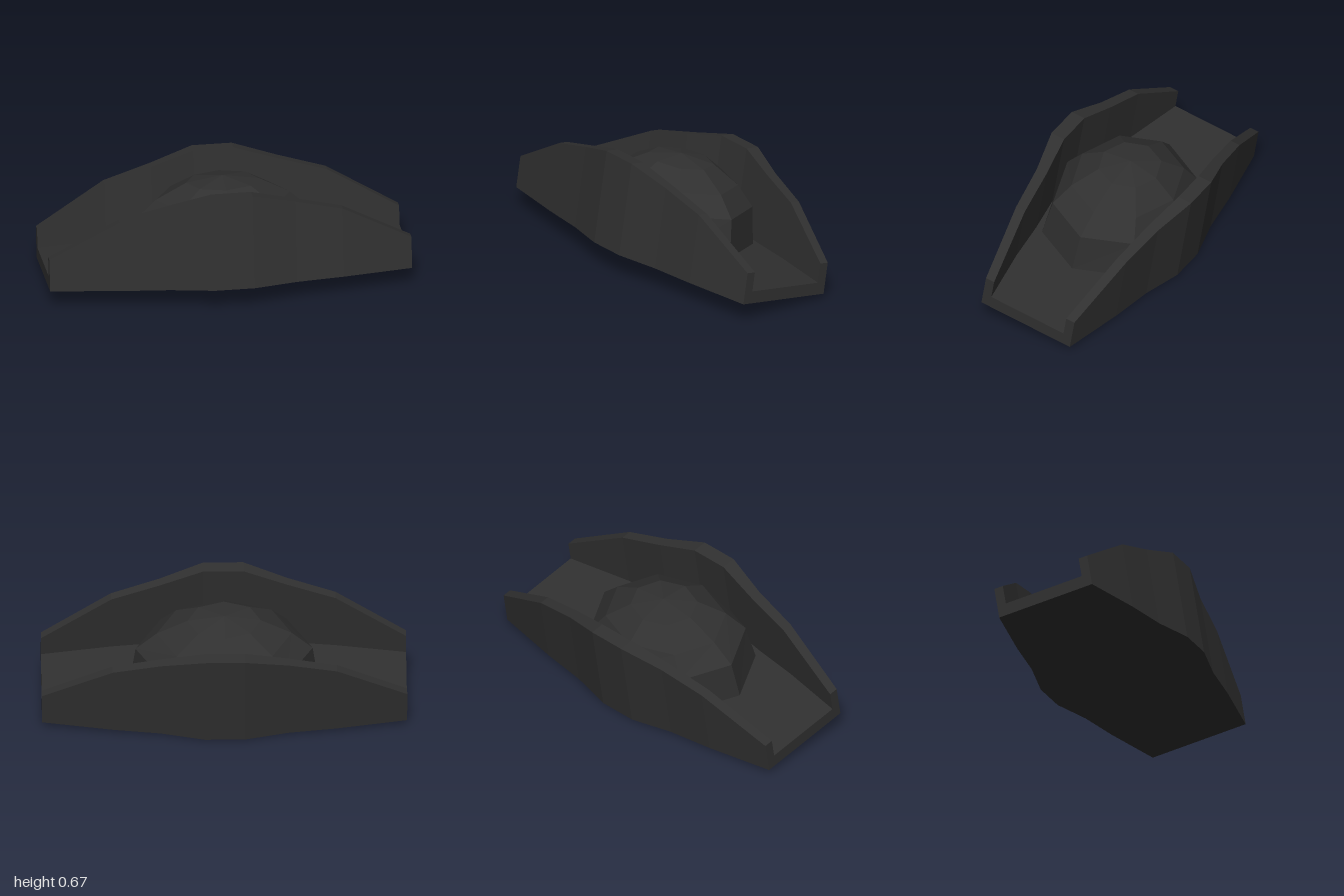
import * as THREE from 'three';

// Joins closed loops of points with quads; caps lists extra quads per end
function loft(loops, startCaps = [], endCaps = []) {
  const pos = [];
  const quad = (a, b, c, d) => [a, b, c, a, c, d].forEach(p => pos.push(...p));
  for (let i = 0; i < loops.length - 1; i++) {
    const a = loops[i], b = loops[i + 1], n = a.length;
    for (let k = 0; k < n; k++) {
      const m = (k + 1) % n;
      quad(a[k], b[k], b[m], a[m]);
    }
  }
  const end = loops[loops.length - 1];
  startCaps.forEach(q => quad(...q.map(k => loops[0][k])));
  endCaps.forEach(q => quad(...q.map(k => end[k])));
  const geo = new THREE.BufferGeometry();
  geo.setAttribute('position', new THREE.Float32BufferAttribute(pos, 3));
  geo.computeVertexNormals();
  return geo;
}

export function createModel() {
  const model = new THREE.Group();
  model.name = 'hat';
  const felt = new THREE.MeshStandardMaterial({
    color: 0x303030, flatShading: true, side: THREE.DoubleSide,
  });
  const floor = 0.07;

  // Brim: U-shaped sections along x, [x, outer half depth, inner half depth, wall height]
  const half = [
    [0.11, 0.448, 0.367, 0.532],
    [0.35, 0.39, 0.328, 0.467],
    [0.615, 0.354, 0.297, 0.396],
    [1, 0.284, 0.232, 0.181],
  ];
  const stations = [...half.map(([x, ...r]) => [-x, ...r]).reverse(), ...half];
  const sections = stations.map(([x, o, i, h]) => [
    [x, 0, o], [x, h, o], [x, h, i], [x, floor, i],
    [x, floor, -i], [x, h, -i], [x, h, -o], [x, 0, -o],
  ]);
  const caps = [[0, 1, 2, 3], [0, 3, 4, 7], [4, 5, 6, 7]];
  const brim = new THREE.Mesh(loft(sections, caps, caps.map(q => [...q].reverse())), felt);
  brim.name = 'upturnedBrim';

  // Crown: eight-sided dome, rings of [height, half width, half depth]
  const rings = [
    [floor + 0.004, 0.515, 0.4],
    [0.285, 0.485, 0.37],
    [0.39, 0.37, 0.293],
    [0.478, 0.2, 0.168],
    [0.509, 0, 0],
  ].map(([h, rx, rz]) => Array.from({ length: 8 }, (_, k) => {
    const t = -k * Math.PI / 4;
    return [rx * Math.cos(t), h, rz * Math.sin(t)];
  }));
  // Loops run bottom to top, so the ring order is flipped to face outwards
  const crown = new THREE.Mesh(loft(rings.map(r => [...r].reverse()).reverse()), felt);
  crown.name = 'crown';

  // The whole hat leans back
  model.add(brim, crown);
  model.rotation.x = -Math.asin(0.163);
  model.position.set(0, 0.075, 0.045);
  const root = new THREE.Group();
  root.name = 'tiltedHat';
  root.add(model);
  return root;
}
